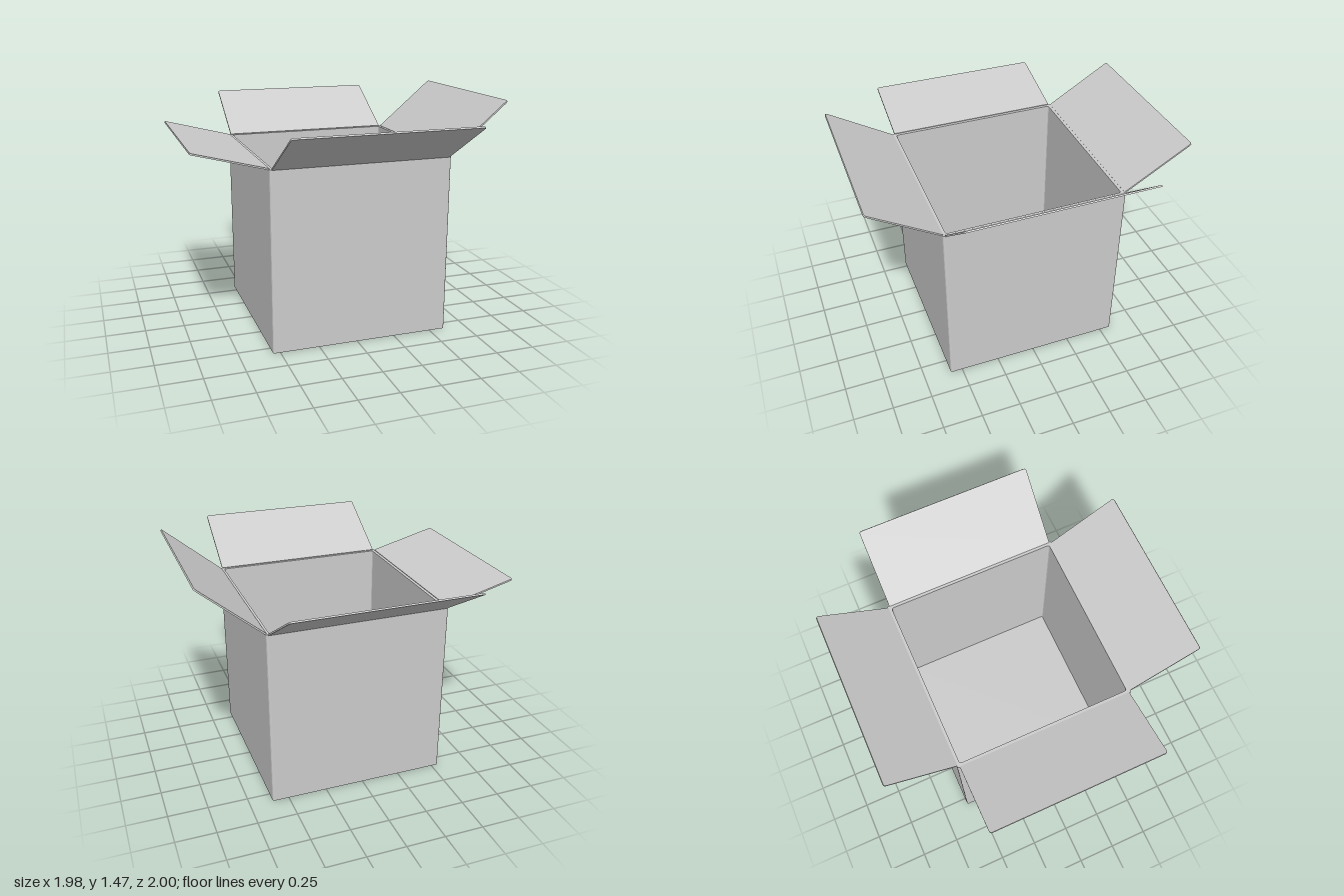
import * as THREE from 'three';

const CX = 0.03, HX = 0.575, HZ = 0.577, H = 1.147, WALL = 0.023, CARD = 0.01;
const material = new THREE.MeshStandardMaterial({ color: 0xcccccc, side: THREE.DoubleSide });

// Rectangle with rounded corners; r0 rounds the low-y corners, r1 the high-y ones
function roundedRect(Target, x0, y0, x1, y1, r0, r1) {
  const s = new Target();
  s.moveTo(x0 + r0, y0);
  s.lineTo(x1 - r0, y0);
  s.quadraticCurveTo(x1, y0, x1, y0 + r0);
  s.lineTo(x1, y1 - r1);
  s.quadraticCurveTo(x1, y1, x1 - r1, y1);
  s.lineTo(x0 + r1, y1);
  s.quadraticCurveTo(x0, y1, x0, y1 - r1);
  s.lineTo(x0, y0 + r0);
  s.quadraticCurveTo(x0, y0, x0 + r0, y0);
  return s;
}

function extrude(name, shape, depth) {
  const geometry = new THREE.ExtrudeGeometry(shape, { depth, bevelEnabled: false, curveSegments: 4 });
  const mesh = new THREE.Mesh(geometry, material);
  mesh.name = name;
  return mesh;
}

export function createModel() {
  const model = new THREE.Group();
  model.name = 'openBox';

  // Four walls as one rounded tube
  const outline = roundedRect(THREE.Shape, -HX, -HZ, HX, HZ, 0.014, 0.014);
  const ix = HX - WALL, iz = HZ - WALL;
  outline.holes.push(roundedRect(THREE.Path, -ix, -iz, ix, iz, 0.014, 0.014));
  const walls = extrude('walls', outline, H);
  walls.rotation.x = -Math.PI / 2;
  walls.position.x = CX;
  model.add(walls);

  // Floor closing the bottom
  const floor = extrude('floor', roundedRect(THREE.Shape, -ix, -iz, ix, iz, 0.014, 0.014), WALL);
  floor.rotation.x = -Math.PI / 2;
  floor.position.x = CX;
  model.add(floor);

  // Flaps hinged on the outer top edges: turn about y, run outward, rise
  const flaps = [
    ['frontFlap', 0, HZ, 0.423, 0.253],
    ['backFlap', Math.PI, HZ, 0.423, 0.253],
    ['leftFlap', Math.PI / 2, HX, 0.383, 0.322],
    ['rightFlap', -Math.PI / 2, HX, 0.447, 0.118],
  ];
  for (const [name, turn, reach, run, rise] of flaps) {
    const shape = roundedRect(THREE.Shape, -0.562, 0, 0.562, Math.hypot(run, rise), 0.002, 0.016);
    const flap = extrude(name, shape, CARD);
    flap.geometry.translate(0, 0, -CARD / 2);
    flap.rotation.x = Math.PI / 2 - Math.atan2(rise, run);
    flap.position.set(0, H, reach - 0.003);
    const hinge = new THREE.Group();
    hinge.name = name + 'Hinge';
    hinge.position.x = CX;
    hinge.rotation.y = turn;
    hinge.add(flap);
    model.add(hinge);
  }
  return model;
}
